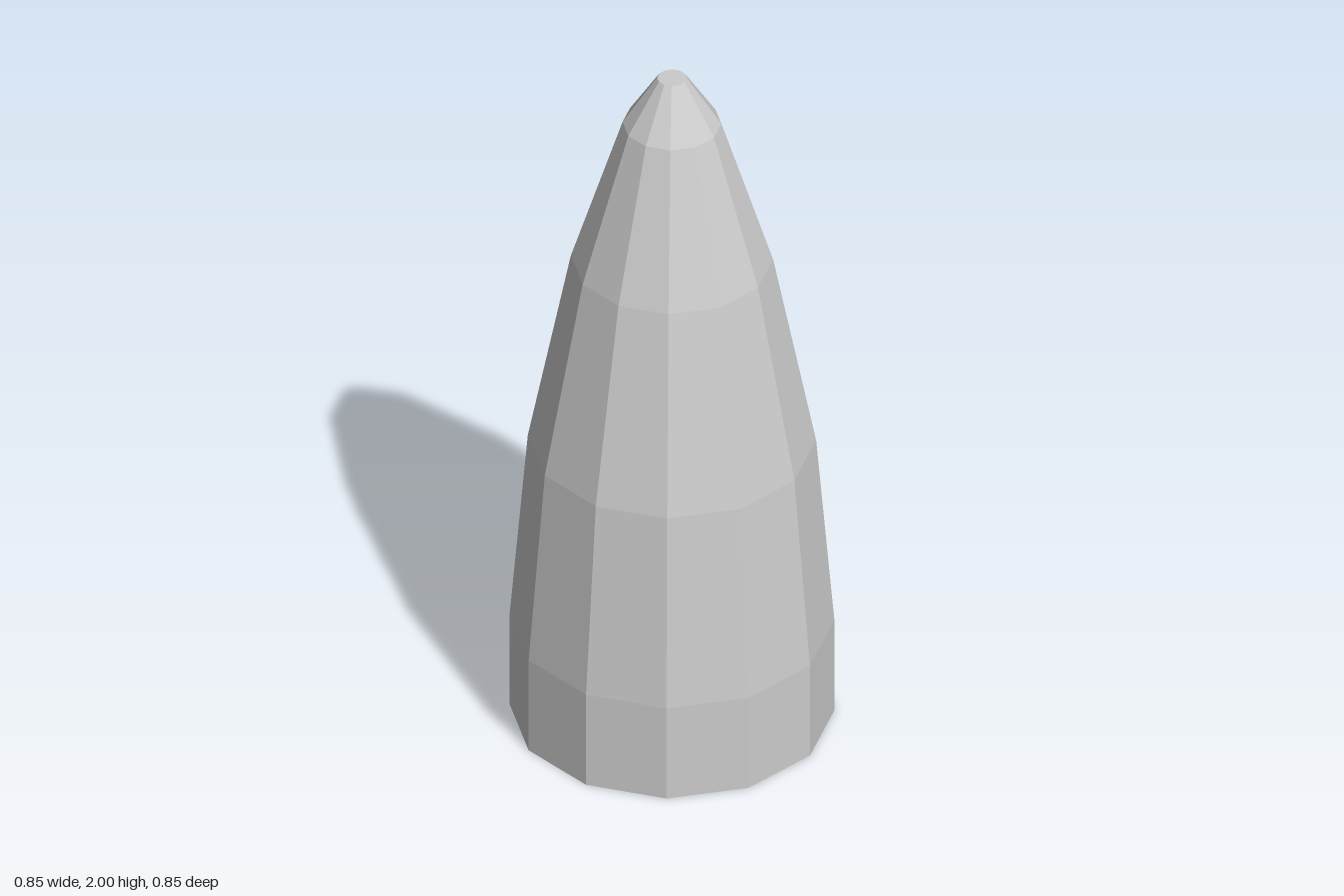
import * as THREE from 'three';

export function createModel() {
  const group = new THREE.Group();
  group.name = 'taperedCone';

  // Radius and height from the closed base up to the small flat tip
  const profile = [
    [0, 0],
    [0.427, 0],
    [0.427, 0.286],
    [0.379, 0.857],
    [0.266, 1.429],
    [0.13, 1.857],
    [0.039, 2],
    [0, 2],
  ].map(([r, y]) => new THREE.Vector2(r, y));

  // Twelve-sided faceted body
  const body = new THREE.Mesh(
    new THREE.LatheGeometry(profile, 12),
    new THREE.MeshStandardMaterial({ color: 0xcccccc, flatShading: true })
  );
  body.name = 'body';
  group.add(body);

  return group;
}
